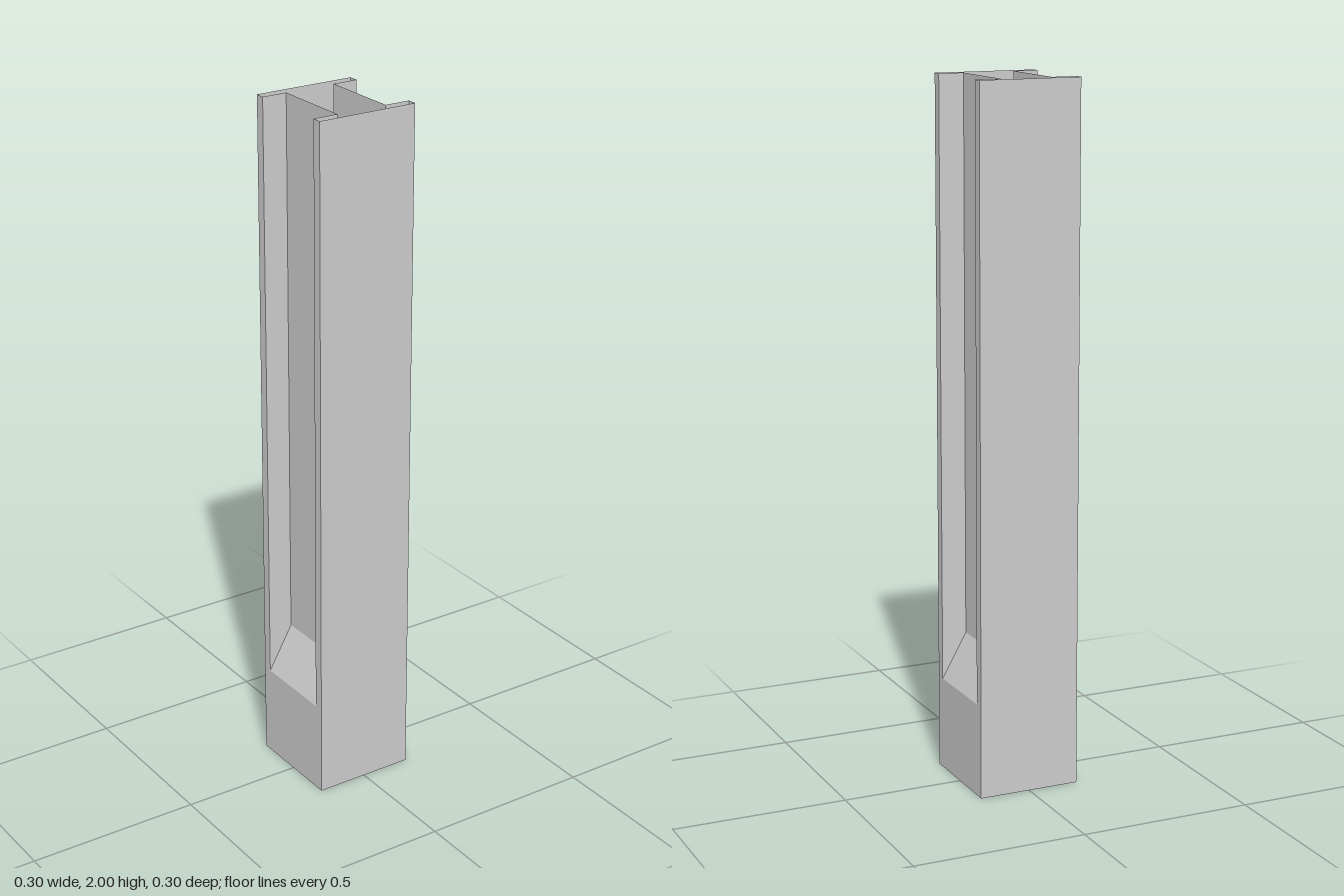
import * as THREE from 'three';

const HALF = 0.149;      // half width of the square post
const WEB = 0.0755;      // half thickness of the web between the channels
const CHANNEL = 0.121;   // half width of each channel
const TOP = 2;
const RAMP_LOW = 0.27;   // ramp height at the outer face
const RAMP_HIGH = 0.4;   // ramp height at the web

const material = new THREE.MeshStandardMaterial({
  color: 0xcccccc, flatShading: true, side: THREE.DoubleSide,
});

function part(name, geometry) {
  const mesh = new THREE.Mesh(geometry, material);
  mesh.name = name;
  return mesh;
}

function outline(points) {
  return new THREE.ShapeGeometry(new THREE.Shape(points.map(([x, y]) => new THREE.Vector2(x, y))));
}

// One flange face and one channelled face; the other half is this turned around.
function createHalf(name) {
  const half = new THREE.Group();
  half.name = name;

  // Broad flange face
  half.add(part('flangeFace',
    new THREE.PlaneGeometry(2 * HALF, TOP).translate(0, TOP / 2, HALF)));

  // Outer side face, notched by the channel
  half.add(part('sideFace', outline([
    [-HALF, 0], [HALF, 0], [HALF, TOP], [CHANNEL, TOP],
    [CHANNEL, RAMP_LOW], [-CHANNEL, RAMP_LOW], [-CHANNEL, TOP], [-HALF, TOP],
  ]).rotateY(Math.PI / 2).translate(HALF, 0, 0)));

  // Channel floor against the web
  half.add(part('webFace', new THREE.PlaneGeometry(2 * CHANNEL, TOP - RAMP_HIGH)
    .rotateY(Math.PI / 2).translate(WEB, (TOP + RAMP_HIGH) / 2, 0)));

  // Channel cheeks with slanted lower edges
  for (const side of [1, -1]) {
    const cheek = part('channelCheek', outline([
      [WEB, RAMP_HIGH], [HALF, RAMP_LOW], [HALF, TOP], [WEB, TOP],
    ]).translate(0, 0, -CHANNEL));
    cheek.scale.z = side;
    half.add(cheek);
  }

  // Sloping ramp at the foot of the channel
  const ramp = new THREE.BufferGeometry();
  ramp.setAttribute('position', new THREE.Float32BufferAttribute([
    HALF, RAMP_LOW, CHANNEL, HALF, RAMP_LOW, -CHANNEL,
    WEB, RAMP_HIGH, -CHANNEL, WEB, RAMP_HIGH, CHANNEL,
  ], 3));
  ramp.setIndex([0, 1, 2, 0, 2, 3]);
  ramp.computeVertexNormals();
  half.add(part('channelRamp', ramp));
  return half;
}

export function createModel() {
  const post = new THREE.Group();
  post.name = 'channelledPost';
  const front = createHalf('frontLeftHalf');
  const back = createHalf('backRightHalf');
  back.rotation.y = Math.PI;
  post.add(front, back);
  return post;
}
